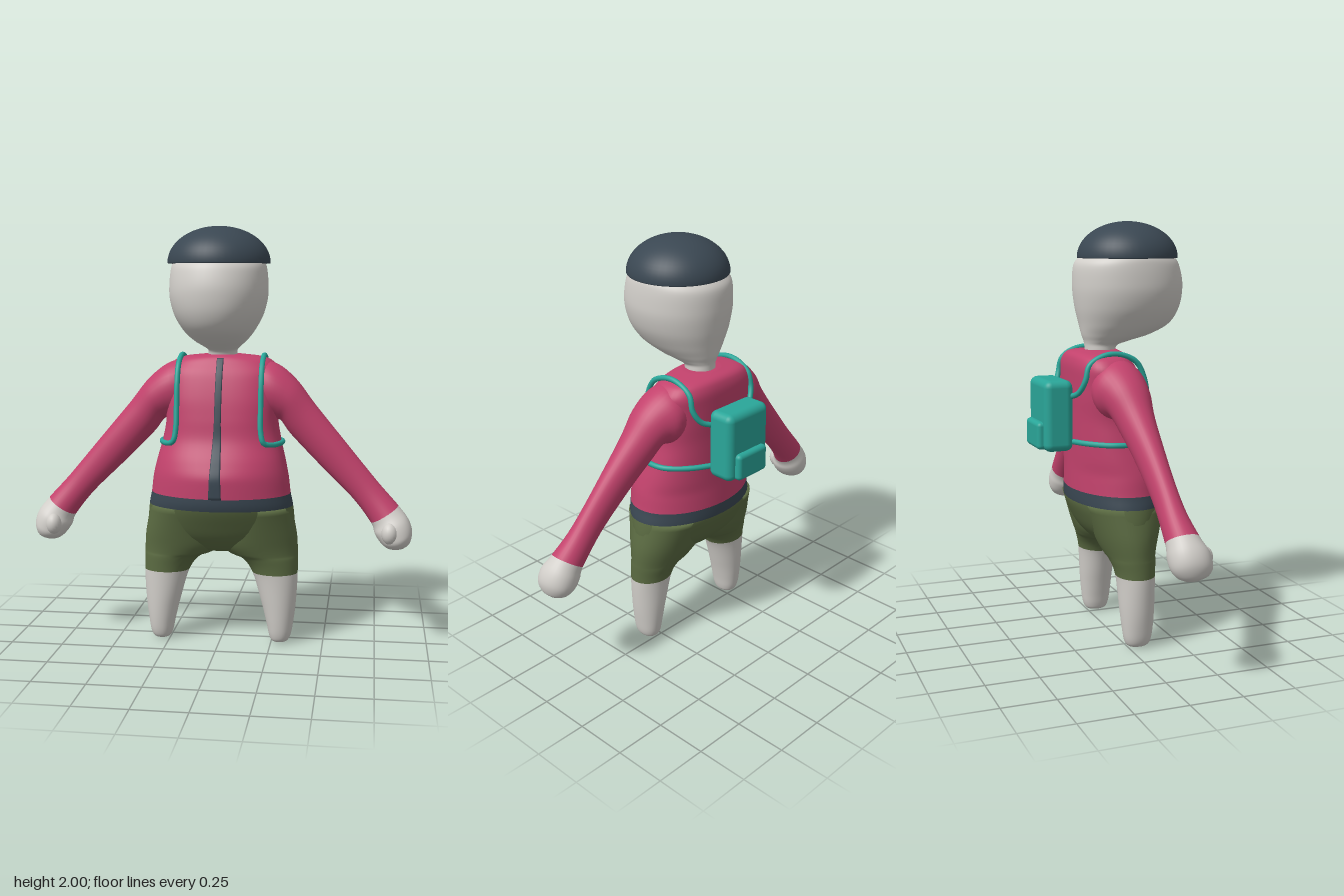
import * as THREE from 'three';
import { RoundedBoxGeometry } from 'three/addons/geometries/RoundedBoxGeometry.js';

const mat = (name, color) => Object.assign(new THREE.MeshStandardMaterial({ color }), { name });

// Limited Hermite interpolation between section keys, so profiles never overshoot
function blend(keys, i, t) {
  const at = (k) => keys[Math.min(Math.max(k, 0), keys.length - 1)];
  const slope = (a, b) => (a * b <= 0 ? 0 : Math.sign(a) * Math.min(Math.abs(a + b) / 2, 3 * Math.abs(a), 3 * Math.abs(b)));
  return keys[i].map((p, c) => {
    const q = at(i + 1)[c], d = q - p;
    const m0 = i > 0 ? slope(p - at(i - 1)[c], d) : d;
    const m1 = i + 2 < keys.length ? slope(d, at(i + 2)[c] - q) : d;
    const t2 = t * t, t3 = t2 * t;
    return p * (2 * t3 - 3 * t2 + 1) + m0 * (t3 - 2 * t2 + t) + q * (3 * t2 - 2 * t3) + m1 * (t3 - t2);
  });
}

// Skin through sections [x0, y0, x1, y1, zBack, zFront, roundness];
// the two xy points are opposite silhouette edges. spans: [material, number of key spans]
function loft(name, keys, spans, steps = 6, sides = 48) {
  const pos = [], index = [], rings = [];
  for (let i = 0; i < keys.length - 1; i++)
    for (let s = 0; s < steps; s++) rings.push(blend(keys, i, s / steps));
  rings.push(keys[keys.length - 1]);
  const soft = (v, n) => Math.sign(v) * Math.pow(Math.abs(v), 2 / n);
  for (const [x0, y0, x1, y1, zb, zf, n] of rings)
    for (let j = 0; j < sides; j++) {
      const a = (j / sides) * Math.PI * 2;
      const u = (soft(Math.cos(a), n) + 1) / 2, w = (soft(Math.sin(a), n) + 1) / 2;
      pos.push(x0 + (x1 - x0) * u, y0 + (y1 - y0) * u, zb + (zf - zb) * w);
    }
  const last = rings.length - 1, centre = rings.length * sides;
  for (const r of [rings[0], rings[last]]) pos.push((r[0] + r[2]) / 2, (r[1] + r[3]) / 2, (r[4] + r[5]) / 2);
  for (let j = 0; j < sides; j++) index.push(centre, j, (j + 1) % sides);
  for (let i = 0; i < last; i++)
    for (let j = 0; j < sides; j++) {
      const a = i * sides + j, b = i * sides + ((j + 1) % sides);
      index.push(a, a + sides, b, b, a + sides, b + sides);
    }
  for (let j = 0; j < sides; j++) index.push(centre + 1, last * sides + ((j + 1) % sides), last * sides + j);
  const g = new THREE.BufferGeometry();
  g.setAttribute('position', new THREE.Float32BufferAttribute(pos, 3));
  g.setIndex(index);
  g.computeVertexNormals();
  let start = 0;
  spans.forEach(([, count], k) => {
    let size = count * steps * sides * 6 + (k === 0 ? sides * 3 : 0);
    if (k === spans.length - 1) size = index.length - start;
    g.addGroup(start, size, k);
    start += size;
  });
  const mesh = new THREE.Mesh(g, spans.map(([m]) => m));
  mesh.name = name;
  return mesh;
}

const level = ([y, hw, zb, zf, n]) => [-hw, y, hw, y, zb, zf, n];
const mirrored = ([x0, y0, x1, y1, ...rest]) => [-x1, y1, -x0, y0, ...rest];

export function createModel() {
  const model = new THREE.Group();
  model.name = 'hikerFigure';
  const skin = mat('pale skin', 0xd2cfca);
  const jacket = mat('raspberry jacket', 0xc2426c);
  const dark = mat('slate trim', 0x3a4752);
  const shorts = mat('olive shorts', 0x5b6b42);
  const teal = mat('teal pack', 0x2aa699);

  // Torso: pelvis, belt and jacket, [y, halfWidth, zBack, zFront, roundness]
  const torso = [
    [0.45, 0.08, -0.01, 0.08, 2], [0.47, 0.2, -0.06, 0.13, 2], [0.53, 0.32, -0.12, 0.185, 2],
    [0.6, 0.357, -0.16, 0.225, 2], [0.68, 0.35, -0.19, 0.262, 2],
    [0.74, 0.338, -0.192, 0.27, 2], [0.82, 0.328, -0.191, 0.269, 2], [0.9, 0.31, -0.19, 0.24, 2.2],
    [1.0, 0.285, -0.19, 0.19, 2.4], [1.1, 0.27, -0.19, 0.17, 2.6], [1.2, 0.275, -0.192, 0.148, 2.7],
    [1.3, 0.275, -0.192, 0.115, 2.7], [1.355, 0.25, -0.185, 0.085, 2.6],
    [1.385, 0.2, -0.165, 0.065, 2.4], [1.4, 0.09, -0.12, 0.045, 2],
  ];
  model.add(loft('torso', torso.map(level), [[shorts, 4], [dark, 1], [jacket, 9]]));

  // Zip strip down the jacket front
  const zip = torso.slice(5, 14).map(([y, , , zf]) => {
    const w = 0.017 + 0.014 * Math.max(0, (1.1 - y) / 0.36);
    return [-w, y, w, y, zf - 0.03, zf + 0.004, 6];
  });
  model.add(loft('zip', zip, [[dark, 8]], 6, 24));

  // Head and neck
  const head = [
    [1.37, 0.07, -0.105, 0.04, 2], [1.415, 0.07, -0.106, 0.05, 2], [1.44, 0.09, -0.11, 0.12, 2],
    [1.47, 0.125, -0.12, 0.225, 2], [1.52, 0.167, -0.13, 0.315, 2.1], [1.6, 0.21, -0.147, 0.362, 2.1],
    [1.7, 0.23, -0.157, 0.375, 2.1], [1.79, 0.225, -0.152, 0.358, 2.1], [1.84, 0.21, -0.12, 0.33, 2],
    [1.9, 0.16, -0.06, 0.27, 2], [1.95, 0.06, 0.04, 0.17, 2],
  ];
  model.add(loft('head', head.map(level), [[skin, 10]]));

  // Domed cap with a flat underside
  const profile = [new THREE.Vector2(0, 1.828), new THREE.Vector2(0.238, 1.828)];
  for (let i = 0; i <= 16; i++) {
    const a = (i / 16) * Math.PI / 2;
    profile.push(new THREE.Vector2(i === 16 ? 0 : 0.24 * Math.cos(a), 1.832 + 0.168 * Math.sin(a)));
  }
  const cap = new THREE.Mesh(new THREE.LatheGeometry(profile, 48), dark);
  cap.name = 'cap';
  cap.position.z = 0.108;
  model.add(cap);

  // Limbs: arm runs shoulder to fingertips, leg runs foot to hip
  const arm = [
    [0.12, 1.38, 0.14, 1.09, -0.14, 0.08, 2], [0.25, 1.362, 0.24, 1.09, -0.155, 0.105, 2],
    [0.355, 1.285, 0.275, 1.09, -0.12, 0.1, 2], [0.45, 1.165, 0.335, 1.02, -0.08, 0.088, 2],
    [0.6, 0.985, 0.475, 0.878, -0.04, 0.085, 2], [0.75, 0.805, 0.63, 0.727, -0.022, 0.095, 2],
    [0.85, 0.695, 0.722, 0.61, -0.022, 0.128, 2],
    [0.9, 0.63, 0.742, 0.558, -0.027, 0.16, 2.1], [0.917, 0.57, 0.77, 0.518, -0.02, 0.165, 2.1],
    [0.907, 0.522, 0.8, 0.494, 0.005, 0.145, 2], [0.885, 0.497, 0.835, 0.486, 0.04, 0.1, 2],
  ];
  const leg = [
    [0.275, 0.003, 0.305, 0.003, 0.03, 0.07, 2], [0.25, 0.012, 0.33, 0.012, 0, 0.1, 2.2],
    [0.238, 0.04, 0.345, 0.04, -0.015, 0.115, 2.2], [0.225, 0.1, 0.356, 0.1, -0.025, 0.125, 2.1],
    [0.2, 0.2, 0.368, 0.2, -0.035, 0.133, 2], [0.155, 0.35, 0.376, 0.35, -0.045, 0.14, 2],
    [0.1, 0.42, 0.376, 0.42, -0.065, 0.15, 2], [0.03, 0.45, 0.375, 0.45, -0.08, 0.158, 2],
    [-0.02, 0.52, 0.372, 0.52, -0.11, 0.18, 2], [0, 0.68, 0.343, 0.68, -0.16, 0.225, 2],
  ];
  // Pack strap: over the shoulder, down the chest and around the ribs
  const strap = [
    [0.1, 1.19, -0.225], [0.165, 1.215, -0.197], [0.2, 1.275, -0.175], [0.2, 1.345, -0.155],
    [0.2, 1.387, -0.085], [0.2, 1.392, -0.01], [0.2, 1.355, 0.075], [0.2, 1.28, 0.115],
    [0.2, 1.15, 0.138], [0.202, 1.05, 0.153], [0.215, 0.995, 0.155], [0.245, 0.982, 0.126],
    [0.28, 0.98, 0.065], [0.293, 0.98, 0], [0.28, 0.98, -0.07], [0.2, 0.98, -0.158], [0.1, 0.98, -0.215],
  ];
  for (const side of [1, -1]) {
    const label = side > 0 ? 'left' : 'right';
    const place = (keys) => (side > 0 ? keys : keys.map(mirrored));
    model.add(loft(label + 'Arm', place(arm), [[jacket, 6], [skin, 4]], 6, 32));
    model.add(loft(label + 'Leg', place(leg), [[skin, 5], [shorts, 4]], 6, 32));

    const thumb = new THREE.Mesh(new THREE.SphereGeometry(0.042, 20, 14), skin);
    thumb.name = label + 'Thumb';
    thumb.scale.set(0.9, 1.2, 1);
    thumb.position.set(side * 0.81, 0.575, 0.142);
    model.add(thumb);

    const path = new THREE.CatmullRomCurve3(strap.map(([x, y, z]) => new THREE.Vector3(side * x, y, z)));
    const band = new THREE.Mesh(new THREE.TubeGeometry(path, 96, 0.013, 10), teal);
    band.name = label + 'Strap';
    model.add(band);
  }

  // Backpack with front pocket
  const addBox = (name, w, h, d, r, y, z) => {
    const box = new THREE.Mesh(new RoundedBoxGeometry(w, h, d, 4, r), teal);
    box.name = name;
    box.position.set(0, y, z);
    model.add(box);
  };
  addBox('backpack', 0.27, 0.335, 0.14, 0.035, 1.103, -0.277);
  addBox('backpackPocket', 0.195, 0.13, 0.06, 0.02, 1.01, -0.345);
  return model;
}
